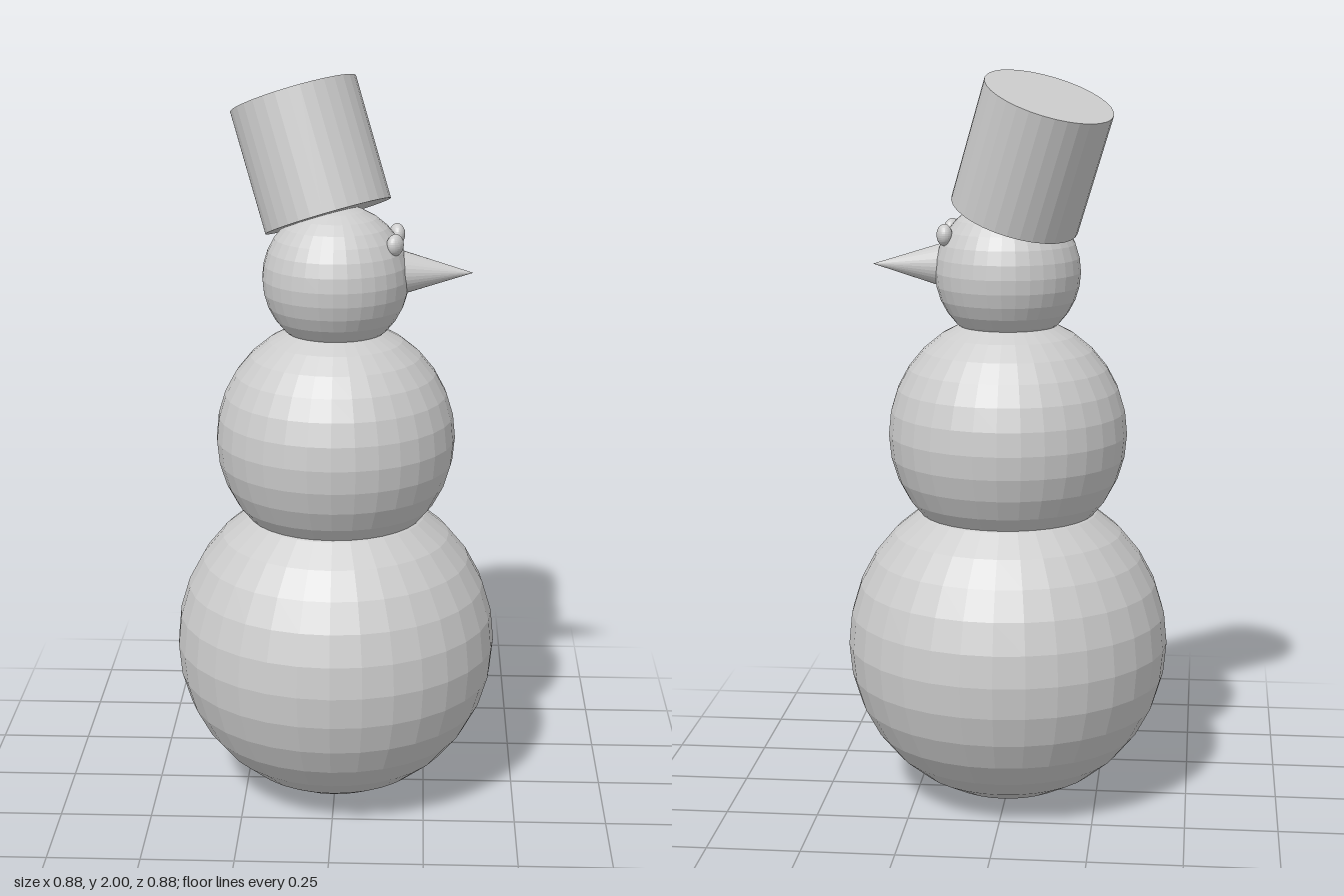
import * as THREE from 'three';

export function createModel() {
  const model = new THREE.Group();
  const grey = new THREE.MeshStandardMaterial({ color: 0xcccccc, flatShading: true });
  grey.name = 'plain grey';

  const add = (name, geometry, x, y, z) => {
    const mesh = new THREE.Mesh(geometry, grey);
    mesh.name = name;
    mesh.position.set(x, y, z);
    model.add(mesh);
    return mesh;
  };

  // Three stacked snowballs
  const balls = [['lowerBall', 0.44, 0.44], ['middleBall', 0.324, 1.027], ['head', 0.196, 1.467]];
  for (const [name, radius, y] of balls) {
    add(name, new THREE.SphereGeometry(radius, 32, 16), 0, y, 0);
  }

  // Carrot nose pointing along +x, its base sunk into the head
  const nose = add('nose', new THREE.ConeGeometry(0.058, 0.187, 32), 0.2715, 1.483, 0);
  nose.rotation.z = -Math.PI / 2;

  // Flattened button eyes, turned to follow the head
  for (const [name, x, z, turn] of [['leftEye', 0.162, -0.073, 0.2], ['rightEye', 0.158, 0.072, -0.45]]) {
    const eye = add(name, new THREE.SphereGeometry(0.029, 32, 16), x, 1.571, z);
    eye.scale.x = 0.72;
    eye.rotation.y = turn;
  }

  // Brimless hat, tilted back and to one side
  const bottom = new THREE.Vector3(-0.022, 1.624, -0.042);
  const top = new THREE.Vector3(-0.118, 1.937, -0.118);
  const axis = top.clone().sub(bottom);
  const middle = bottom.clone().add(top).multiplyScalar(0.5);
  const hat = add('hat', new THREE.CylinderGeometry(0.174, 0.174, axis.length(), 32), middle.x, middle.y, middle.z);
  hat.quaternion.setFromUnitVectors(new THREE.Vector3(0, 1, 0), axis.normalize());

  return model;
}
